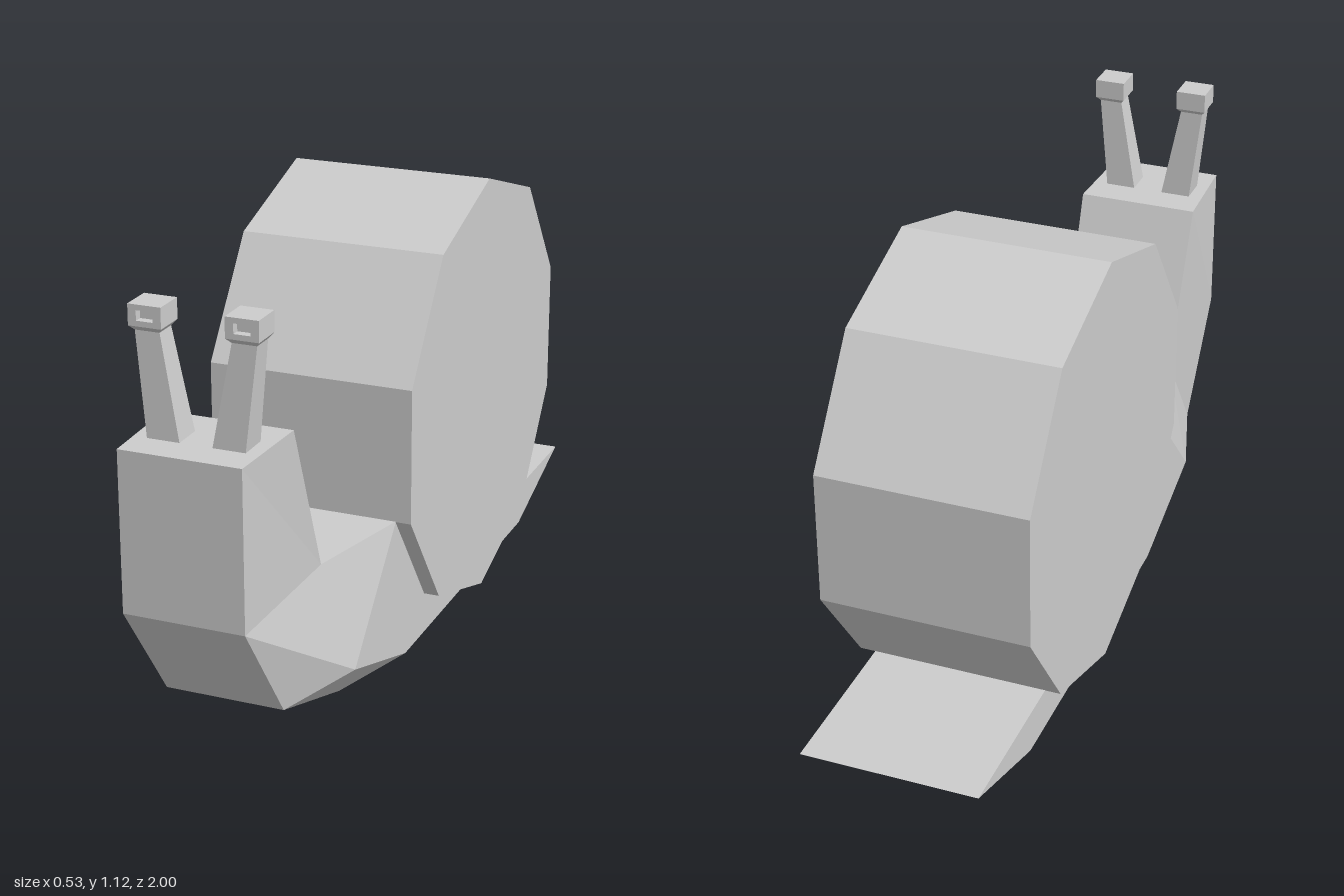
import * as THREE from 'three';

const grey = new THREE.MeshStandardMaterial({ color: 0xcccccc });
grey.name = 'plain grey';

// Flat-shaded mesh from convex polygons, each fanned into triangles
function polyMesh(name, polygons) {
  const pos = [];
  for (const p of polygons)
    for (let i = 1; i < p.length - 1; i++) pos.push(...p[0], ...p[i], ...p[i + 1]);
  const geo = new THREE.BufferGeometry();
  geo.setAttribute('position', new THREE.Float32BufferAttribute(pos, 3));
  geo.computeVertexNormals();
  return named(name, geo);
}

function named(name, geo) {
  const mesh = new THREE.Mesh(geo, grey);
  mesh.name = name;
  return mesh;
}

// Loft through stacked rectangles [y, centreX, halfX, centreZ, halfZ]
function loft(name, rects) {
  const rings = rects.map(([y, x, hx, z, hz]) => [
    [x - hx, y, z + hz], [x + hx, y, z + hz], [x + hx, y, z - hz], [x - hx, y, z - hz],
  ]);
  const faces = [[...rings[0]].reverse(), rings[rings.length - 1]];
  for (let r = 0; r < rings.length - 1; r++)
    for (let i = 0; i < 4; i++) {
      const j = (i + 1) % 4;
      faces.push([rings[r][i], rings[r][j], rings[r + 1][j], rings[r + 1][i]]);
    }
  return polyMesh(name, faces);
}

function makeBody() {
  // Side outline of the left half, counter-clockwise from the top of the head
  const outline = [
    [0.15, 0.785, 1], [0.15, 0.39, 1], [0.15, 0.11, 0.8], [0.15, 0, 0.47],
    [0.225, 0, 0.22], [0.225, 0, -0.67], [0.225, 0.11, -1], [0.225, 0.11, 0],
    [0.225, 0.39, 0.2], [0.225, 0.39, 0.29], [0.155, 0.39, 0.59], [0.16, 0.785, 0.75],
  ];
  const pts = [...outline, [0.225, 0.11, 0.55]]; // last point: cheek corner
  const mirror = ([x, y, z]) => [-x, y, z];
  const sides = [
    [0, 1, 10, 11], [1, 2, 12, 10], [2, 3, 4, 12],
    [12, 4, 5, 6, 7], [10, 12, 9], [12, 7, 8, 9],
  ];
  const faces = [];
  for (const f of sides) {
    const left = f.map(i => pts[i]);
    faces.push(left, left.map(mirror).reverse());
  }
  // Strip joining both sides
  outline.forEach((a, i) => {
    const b = outline[(i + 1) % outline.length];
    faces.push([a, mirror(a), mirror(b), b]);
  });
  return polyMesh('body', faces);
}

function makeShell() {
  const geo = new THREE.CylinderGeometry(0.56, 0.56, 0.53, 10).toNonIndexed();
  geo.rotateY(Math.PI / 10).rotateZ(Math.PI / 2).translate(0, 0.562, -0.24);
  geo.computeVertexNormals();
  return named('shell', geo);
}

function rectPath(path, hx, hy) {
  path.moveTo(-hx, -hy);
  path.lineTo(hx, -hy);
  path.lineTo(hx, hy);
  path.lineTo(-hx, hy);
  path.closePath();
  return path;
}

function makeFeeler(side) {
  const feeler = new THREE.Group();
  feeler.name = side > 0 ? 'leftFeeler' : 'rightFeeler';
  const x = 0.116 * side;
  feeler.add(loft('stalk', [
    [0.78, 0.079 * side, 0.04, 0.877, 0.039],
    [1.03, x, 0.03, 0.877, 0.028],
  ]));
  // Eye block with a bevelled underside
  feeler.add(loft('eye', [
    [1.03, x, 0.03, 0.877, 0.028],
    [1.042, x, 0.04, 0.877, 0.04],
  ]));
  const back = new THREE.BoxGeometry(0.08, 0.05, 0.06);
  feeler.add(named('eyeBack', back.translate(x, 1.067, 0.867)));
  // Front frame around the sunken pupil
  const frame = rectPath(new THREE.Shape(), 0.04, 0.025);
  frame.holes.push(rectPath(new THREE.Path(), 0.02, 0.012));
  const rim = new THREE.ExtrudeGeometry(frame, { depth: 0.02, bevelEnabled: false });
  feeler.add(named('eyeRim', rim.translate(x, 1.067, 0.897)));
  return feeler;
}

export function createModel() {
  const snail = new THREE.Group();
  snail.name = 'snail';
  snail.add(makeBody(), makeShell(), makeFeeler(1), makeFeeler(-1));
  return snail;
}
